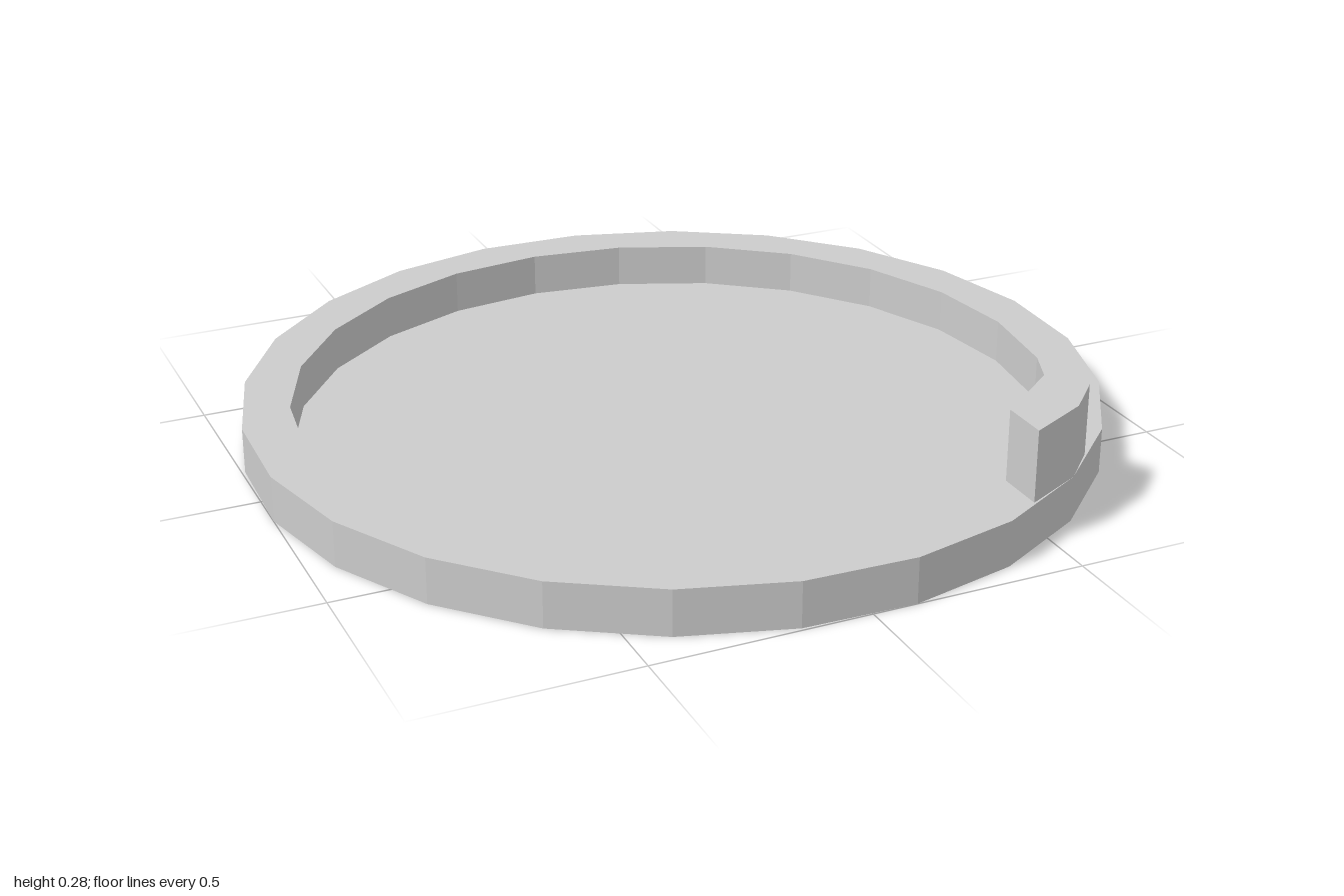
import * as THREE from 'three';

const SIDES = 24, OUTER = 1.005, INNER = 0.89;
const FLOOR = 0.003, RIM = 0.108, TAB = 0.277;
const TWIST = THREE.MathUtils.degToRad(5.9); // outer polygon is turned against the inner one

// Point on a polygon in plan, angle measured from +z; shape y is -z
const at = (r, a) => new THREE.Vector2(r * Math.sin(a), -r * Math.cos(a));
const ring = (r, twist) => Array.from({ length: SIDES }, (_, i) =>
  at(r, twist + (i / SIDES) * Math.PI * 2));

// Extrude a plan shape upward from y0 to y1
function slab(name, shape, y0, y1, material) {
  const geo = new THREE.ExtrudeGeometry(shape, { depth: y1 - y0, bevelEnabled: false });
  geo.rotateX(-Math.PI / 2).translate(0, y0, 0);
  const mesh = new THREE.Mesh(geo, material);
  mesh.name = name;
  return mesh;
}

export function createModel() {
  const group = new THREE.Group();
  group.name = 'tray';
  const material = new THREE.MeshStandardMaterial({ color: 0xcccccc, flatShading: true });
  const outer = ring(OUTER, TWIST), inner = ring(INNER, 0);

  // Thin base plate
  group.add(slab('floor', new THREE.Shape(outer), 0, FLOOR, material));

  // Raised rim around the plate
  const rim = new THREE.Shape(outer);
  rim.holes.push(new THREE.Path(inner));
  group.add(slab('rim', rim, FLOOR, RIM, material));

  // Upright tab on the rim, following one inner side and a corner of the outer edge
  const tab = new THREE.Shape([
    inner[2], new THREE.Vector2(0.445, -0.886), outer[2],
    new THREE.Vector2(0.672, -0.729), inner[3],
  ]);
  group.add(slab('tab', tab, RIM, TAB, material));

  return group;
}
